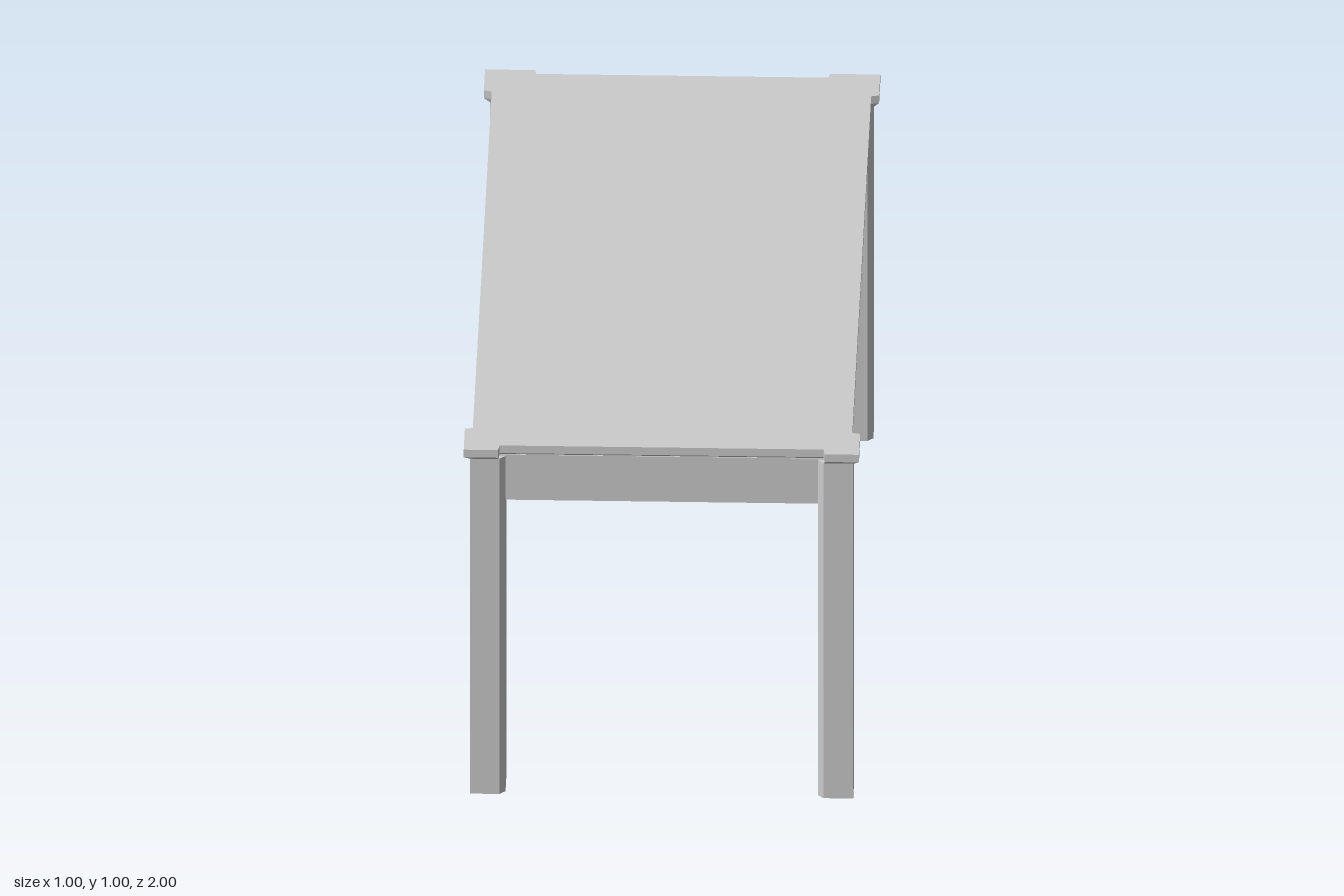
import * as THREE from 'three';

const material = new THREE.MeshStandardMaterial({ color: 0xcccccc, flatShading: true });

// Tabletop outline with a projecting pad at each corner; inset shrinks it
function topOutline(inset) {
  const padX = 0.5 - inset, padZ = 1 - inset, sideX = 0.48 - inset;
  const corner = (sx, sz, innerX, endZ) => [
    [sideX, 0.885], [padX, 0.89], [padX, padZ], [innerX + 0.003, padZ], [innerX, endZ - inset],
  ].map(([x, z]) => new THREE.Vector2(sx * x, -sz * z));
  return [
    ...corner(1, -1, 0.37, 0.98),
    ...corner(-1, -1, 0.37, 0.98).reverse(),
    ...corner(-1, 1, 0.41, 0.975),
    ...corner(1, 1, 0.41, 0.975).reverse(),
  ];
}

// Closed solid through equal-length outlines stacked upwards
function loft(rings) {
  const n = rings[0].points.length;
  const positions = [], index = [];
  rings.forEach(({ y, points }) => points.forEach((p) => positions.push(p.x, y, -p.y)));
  for (let r = 0; r < rings.length - 1; r++) {
    for (let i = 0; i < n; i++) {
      const a = r * n + i, b = r * n + (i + 1) % n;
      index.push(a, b, b + n, a, b + n, a + n);
    }
  }
  const last = (rings.length - 1) * n;
  THREE.ShapeUtils.triangulateShape(rings[0].points, [])
    .forEach(([a, b, c]) => index.push(c, b, a));
  THREE.ShapeUtils.triangulateShape(rings[rings.length - 1].points, [])
    .forEach(([a, b, c]) => index.push(last + a, last + b, last + c));
  const indexed = new THREE.BufferGeometry();
  indexed.setAttribute('position', new THREE.Float32BufferAttribute(positions, 3));
  indexed.setIndex(index);
  const geometry = indexed.toNonIndexed();
  geometry.computeVertexNormals();
  return geometry;
}

// Square leg, chamfered on the two corners beside the aprons
function legGeometry(sx, sz) {
  const section = [
    [0.485, 0.985], [0.41, 0.985], [0.395, 0.97], [0.395, 0.895], [0.47, 0.895], [0.485, 0.91],
  ].map(([x, z]) => new THREE.Vector2(sx * x, -sz * z));
  const geometry = new THREE.ExtrudeGeometry(new THREE.Shape(section), { depth: 0.967, bevelEnabled: false });
  return geometry.rotateX(-Math.PI / 2);
}

export function createModel() {
  const table = new THREE.Group();
  table.name = 'table';
  const add = (name, geometry) => {
    const mesh = new THREE.Mesh(geometry, material);
    mesh.name = name;
    table.add(mesh);
  };

  // Slab with a bevelled underside
  add('tabletop', loft([
    { y: 0.966, points: topOutline(0.015) },
    { y: 0.978, points: topOutline(0) },
    { y: 1, points: topOutline(0) },
  ]));

  // Closed apron body under the slab
  add('apron', new THREE.BoxGeometry(0.936, 0.13, 1.936).translate(0, 0.905, 0));

  // Four legs
  for (const [sx, side] of [[1, 'Left'], [-1, 'Right']]) {
    for (const [sz, end] of [[1, 'front'], [-1, 'back']]) add(`${end}${side}Leg`, legGeometry(sx, sz));
  }
  return table;
}
